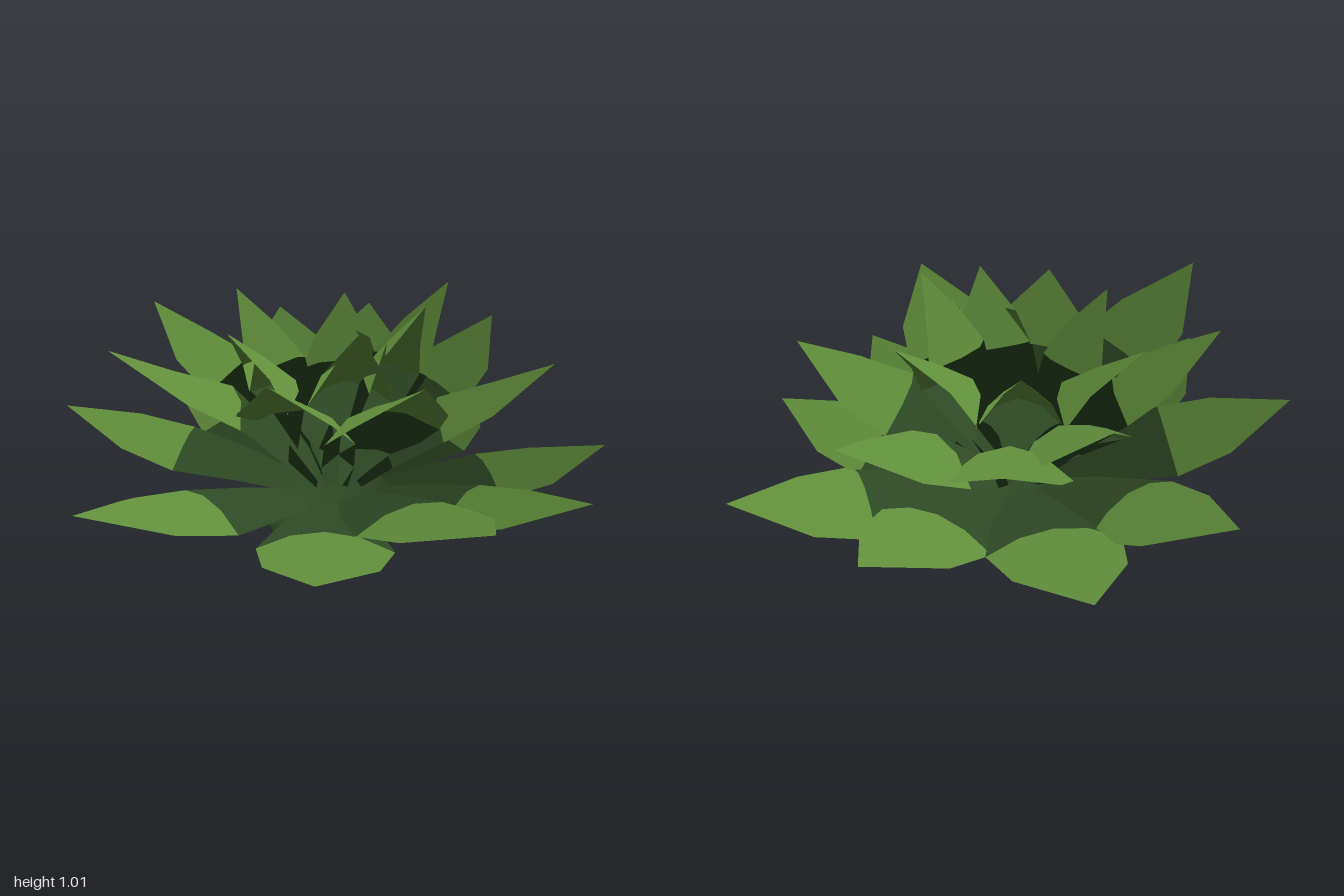
import * as THREE from 'three';

const CENTRE_X = 0.05;
const ACROSS = [-1, -0.5, 0, 0.5, 1];
const THICKNESS = 0.012;

// Each section: [share of reach, share of rise, half width, droop of the edges].
// The first three sections are the dark stalk end, the last three the light tip.
const RINGS = [
  {
    name: 'outerLeaf', baseY: 0.27,
    sections: [[0.05, 0, 0.06, 0.02], [0.3, 0.4, 0.16, 0.045], [0.54, 0.68, 0.23, 0.065], [0.74, 0.86, 0.185, 0.055], [1, 1, 0, 0]],
    tips: [
      [-0.03, 0.535, -0.96], [0.55, 0.53, -0.9], [0.91, 0.46, -0.23], [1, 0.38, 0.43], [0.5, 0.4, 0.86],
      [-0.01, 0.45, 0.96], [-0.54, 0.35, 0.78], [-1, 0.43, 0.08], [-0.73, 0.56, -0.62],
    ],
  },
  {
    name: 'middleLeaf', baseY: 0.28,
    sections: [[0.06, 0, 0.06, 0.02], [0.25, 0.37, 0.15, 0.07], [0.48, 0.71, 0.21, 0.11], [0.73, 0.84, 0.17, 0.07], [1, 1, 0, 0]],
    tips: [
      [-0.78, 0.9, -0.08], [-0.4, 0.93, -0.53], [0.19, 0.82, -0.61], [0.58, 0.8, -0.54],
      [0.86, 0.8, -0.09], [0.57, 0.8, 0.57], [-0.08, 0.85, 0.69], [-0.44, 0.83, 0.35],
    ],
  },
  {
    name: 'innerLeaf', baseY: 0.3,
    sections: [[0.1, 0, 0.06, 0.02], [0.22, 0.35, 0.12, 0.08], [0.38, 0.67, 0.15, 0.13], [0.66, 0.83, 0.105, 0.06], [1, 1, 0, 0]],
    tips: [
      [0.55, 0.99, 0.01], [0.17, 1.01, 0.36], [-0.1, 0.95, 0.36],
      [-0.37, 0.91, -0.03], [-0.08, 0.95, -0.48], [0.3, 0.92, -0.31],
    ],
  },
];

// Thin solid between matching rows of points on the upper and lower side.
// Both sides share soft foliage normals that lean out along the leaf.
function leafSolid(topRows, bottomRows) {
  const n = ACROSS.length;
  const index = [];
  const offset = topRows.length * n;
  const addFaces = (a, b, c) => index.push(a, b, c, a + offset, c + offset, b + offset);
  for (let i = 0; i < topRows.length - 1; i++) {
    for (let j = 0; j < n - 1; j++) {
      const a = i * n + j, b = a + 1, c = a + n, d = c + 1;
      addFaces(a, b, c);
      if (topRows[i + 1][j].distanceTo(topRows[i + 1][j + 1]) > 1e-6) addFaces(b, d, c);
    }
  }
  const points = [...topRows, ...bottomRows].flat();
  const geometry = new THREE.BufferGeometry().setFromPoints(points);
  geometry.setIndex(index);
  geometry.setAttribute('normal', new THREE.Float32BufferAttribute(points.flatMap(() => [0.6, 0.8, 0]), 3));
  return geometry;
}

// Leaf arched across its width, running out along +x to its tip
function makeLeaf(ring, [x, y, z], darkGreen, lightGreen) {
  const reach = Math.hypot(x - CENTRE_X, z);
  const rise = y - ring.baseY;
  const mid = ring.sections.map(([r, h]) => new THREE.Vector2(r * reach, ring.baseY + h * rise));

  // Rows of one side; the sides meet at the leaf's edges and tip
  const sideRows = (thickness) => ring.sections.map(([, , half, droop], i) => {
    const along = mid[Math.min(i + 1, mid.length - 1)].clone().sub(mid[Math.max(i - 1, 0)]).normalize();
    return ACROSS.map((t) => {
      const drop = droop * t * t + (half > 0 ? thickness * (1 - t * t) : 0);
      return new THREE.Vector3(mid[i].x + along.y * drop, mid[i].y - along.x * drop, half * t);
    });
  });
  const top = sideRows(0);
  const bottom = sideRows(THICKNESS);

  const leaf = new THREE.Group();
  leaf.name = ring.name;
  const lower = new THREE.Mesh(leafSolid(top.slice(0, 3), bottom.slice(0, 3)), darkGreen);
  lower.name = 'leafBase';
  const upper = new THREE.Mesh(leafSolid(top.slice(2), bottom.slice(2)), lightGreen);
  upper.name = 'leafTip';
  leaf.add(lower, upper);
  leaf.position.x = CENTRE_X;
  leaf.rotation.y = -Math.atan2(z, x - CENTRE_X);
  return leaf;
}

export function createModel() {
  const darkGreen = new THREE.MeshStandardMaterial({ color: 0x2d4723 });
  darkGreen.name = 'darkGreen';
  const lightGreen = new THREE.MeshStandardMaterial({ color: 0x5f8c3a });
  lightGreen.name = 'lightGreen';

  const plant = new THREE.Group();
  plant.name = 'succulent';

  // Rounded bulb under the leaves
  const profile = [[0, 0], [0.15, 0.015], [0.24, 0.09], [0.275, 0.18], [0.25, 0.26], [0.15, 0.32], [0, 0.34]];
  const bulb = new THREE.Mesh(
    new THREE.LatheGeometry(profile.map(([r, y]) => new THREE.Vector2(r, y)), 10),
    darkGreen,
  );
  bulb.name = 'bulb';
  bulb.position.x = CENTRE_X;
  bulb.rotation.y = Math.PI / 2;
  plant.add(bulb);

  // Three rings of leaves, steeper towards the middle
  for (const ring of RINGS) {
    for (const tip of ring.tips) plant.add(makeLeaf(ring, tip, darkGreen, lightGreen));
  }
  return plant;
}
